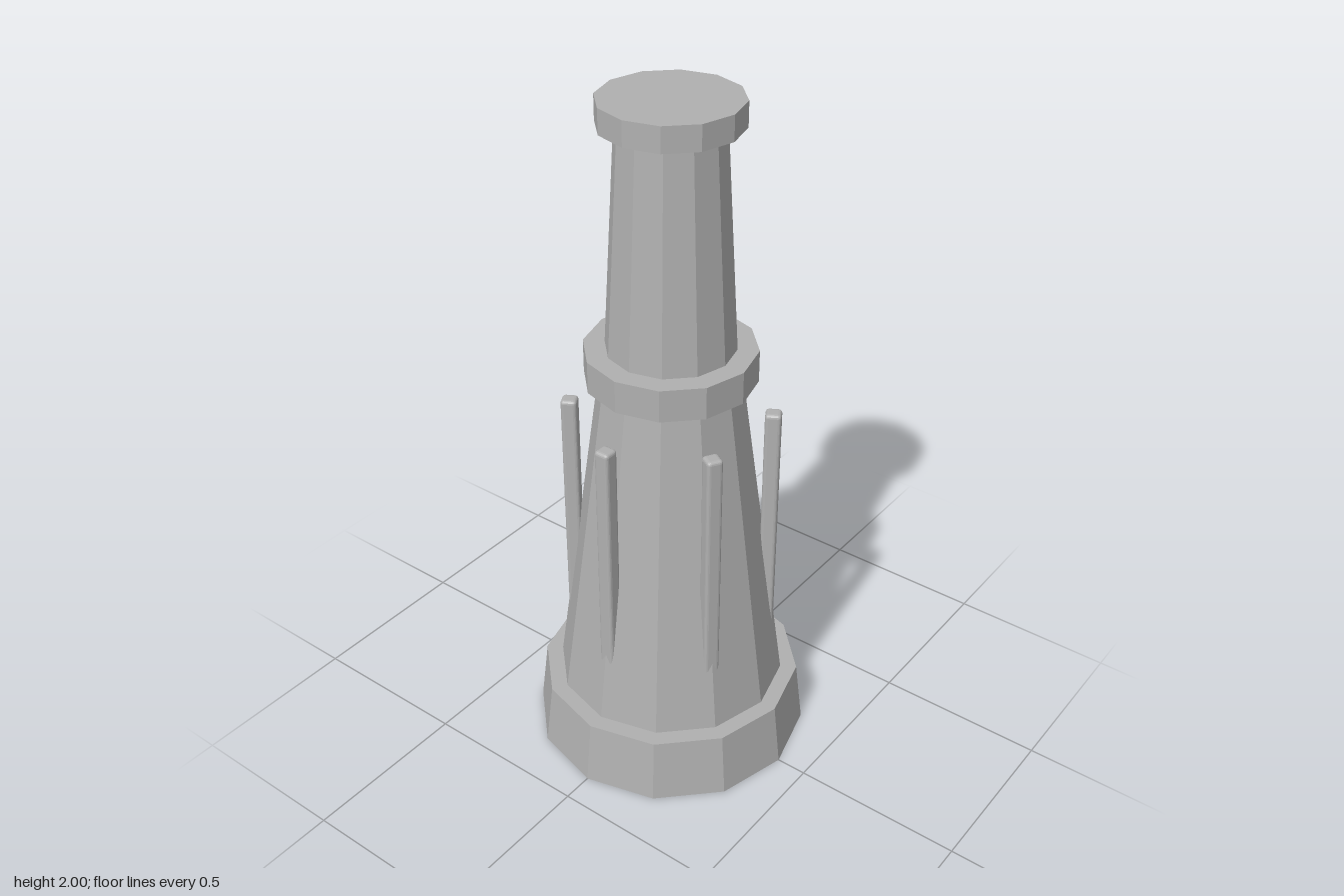
import * as THREE from 'three';
import { RoundedBoxGeometry } from 'three/addons/geometries/RoundedBoxGeometry.js';

export function createModel() {
  const model = new THREE.Group();
  model.name = 'tower';
  const stone = new THREE.MeshStandardMaterial({ color: 0xb0b0b0, flatShading: true });
  stone.name = 'grey stone';

  // Stacked twelve-sided sections: name, bottom radius, top radius, bottom y, top y
  const sections = [
    ['base', 0.41, 0.387, 0, 0.195],
    ['lowerTower', 0.338, 0.2, 0.195, 1.205],
    ['collar', 0.241, 0.241, 1.205, 1.3],
    ['upperTower', 0.181, 0.145, 1.3, 1.93],
    ['cap', 0.193, 0.193, 1.93, 2],
  ];
  for (const [name, bottom, top, y0, y1] of sections) {
    const mesh = new THREE.Mesh(new THREE.CylinderGeometry(top, bottom, y1 - y0, 12), stone);
    mesh.name = name;
    mesh.position.y = (y0 + y1) / 2;
    model.add(mesh);
  }

  // Six slim rounded posts rising out of the sloping wall
  const postBottom = 0.31, postTop = 1.11, postRadius = 0.285;
  const postGeometry = new RoundedBoxGeometry(0.046, postTop - postBottom, 0.046, 2, 0.01);
  const posts = new THREE.Group();
  posts.name = 'posts';
  for (let i = 0; i < 6; i++) {
    const angle = (i * Math.PI) / 3;
    const post = new THREE.Mesh(postGeometry, stone);
    post.name = 'post';
    post.position.set(
      Math.cos(angle) * postRadius,
      (postBottom + postTop) / 2,
      -Math.sin(angle) * postRadius
    );
    post.rotation.y = angle;
    posts.add(post);
  }
  model.add(posts);

  return model;
}
